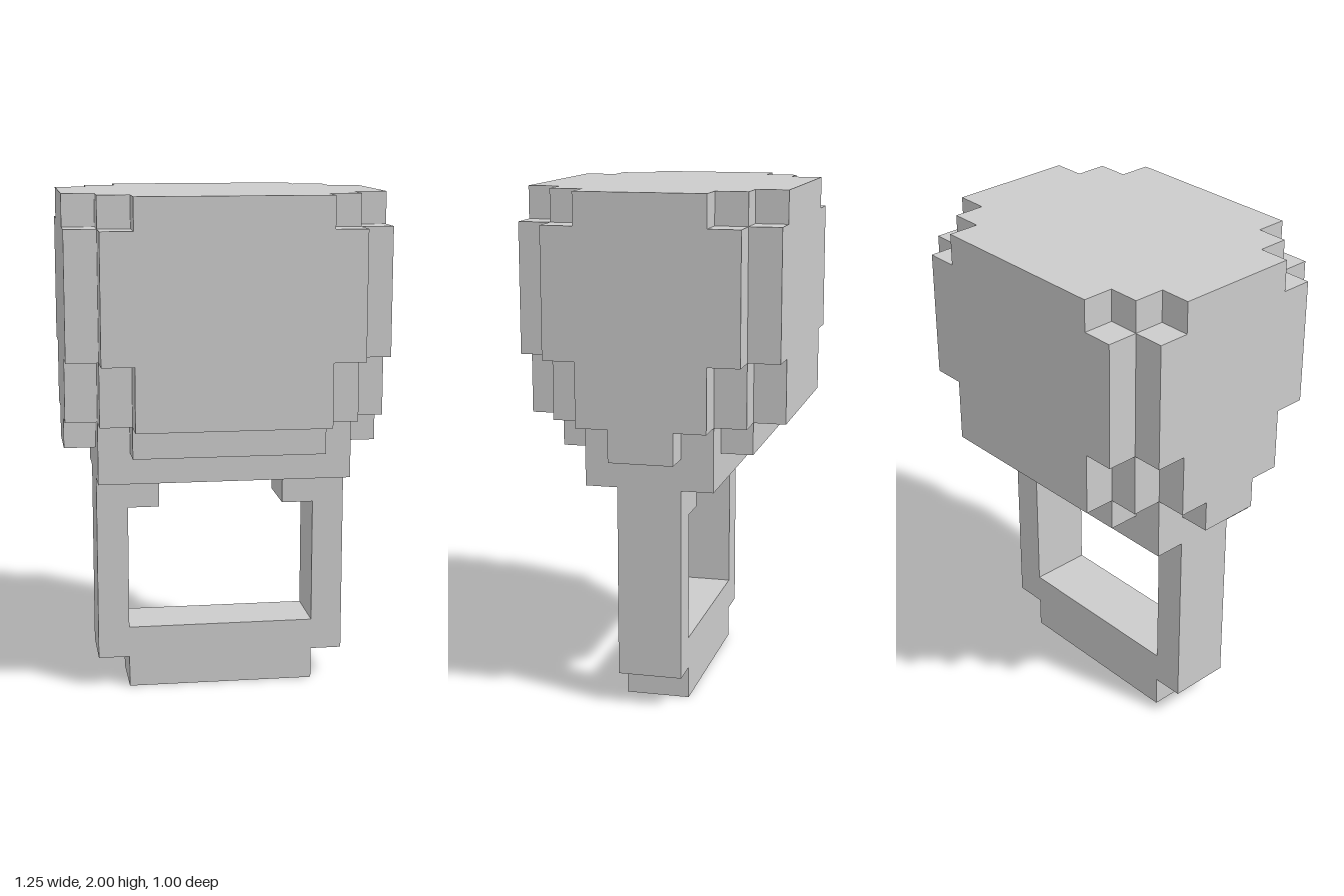
import * as THREE from 'three';

const U = 0.125; // one block
const material = new THREE.MeshStandardMaterial({ color: 0xcccccc, flatShading: true });

function extrude(points, depth) {
  const shape = new THREE.Shape(points.map(([x, y]) => new THREE.Vector2(x * U, y * U)));
  return new THREE.ExtrudeGeometry(shape, { depth: depth * U, bevelEnabled: false });
}

// Outline symmetric in x and z, from [halfX, halfZ] steps listed widest x first
function steppedOutline(steps) {
  const quarter = [];
  steps.forEach(([x, z], i) => {
    if (i > 0) quarter.push([x, steps[i - 1][1]]);
    quarter.push([x, z]);
  });
  const half = [...quarter, ...quarter.map(([x, z]) => [-x, z]).reverse()];
  return [...half, ...half.map(([x, z]) => [-x, -z])];
}

function addMesh(parent, name, geometry) {
  const mesh = new THREE.Mesh(geometry, material);
  mesh.name = name;
  parent.add(mesh);
  return mesh;
}

export function createModel() {
  const model = new THREE.Group();
  model.name = 'blockyRing';

  // Band: open U of blocks with two inner shoulders, closed above by the setting
  const side = [[3, 0], [3, 1], [4, 1], [4, 7], [2, 7], [2, 6], [3, 6], [3, 2]];
  const band = [...side, ...side.map(([x, y]) => [-x, y]).reverse()];
  addMesh(model, 'band', extrude(band, 2)).position.z = -U;

  // Head: stacked layers with stepped corners
  const head = new THREE.Group();
  head.name = 'head';
  model.add(head);
  const layers = [
    ['setting', 7, 8, [[4, 2]]],
    ['lowerTaper', 8, 9, [[5, 1], [4, 2], [3, 3]]],
    ['lowerGirdle', 9, 11, [[5, 2], [4, 3], [3, 4]]],
    ['stoneBody', 11, 15, [[5, 3], [4, 4]]],
    ['stoneTop', 15, 16, [[5, 2], [4, 3], [3, 4]]],
  ];
  for (const [name, y0, y1, steps] of layers) {
    const geometry = extrude(steppedOutline(steps), y1 - y0).rotateX(-Math.PI / 2);
    addMesh(head, name, geometry).position.y = y0 * U;
  }
  return model;
}
